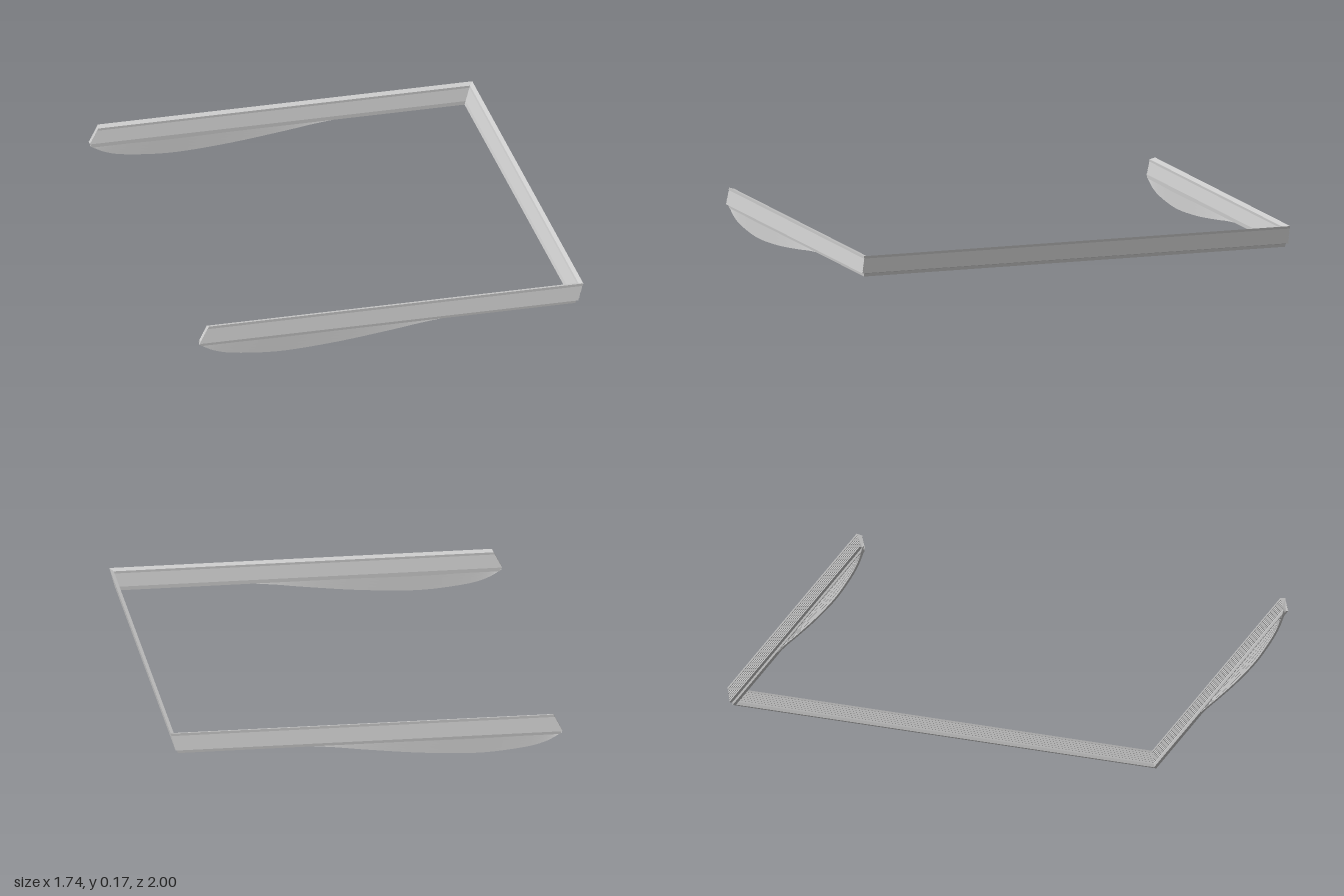
import * as THREE from 'three';

const TOP = 0.169, RIB_BOTTOM = 0.088, BOTTOM = 0.071, RIBS = 7;

// Skin a list of matching cross-sections and close both ends.
function loft(rings, section) {
  const n = section.length, index = [];
  for (let s = 0; s < rings.length - 1; s++) {
    for (let i = 0; i < n; i++) {
      const j = (i + 1) % n;
      const a = s * n + i, b = s * n + j, c = b + n, d = a + n;
      index.push(a, b, c, a, c, d);
    }
  }
  const last = (rings.length - 1) * n;
  for (const [a, b, c] of THREE.ShapeUtils.triangulateShape(section, [])) {
    index.push(c, b, a, last + a, last + b, last + c);
  }
  const geometry = new THREE.BufferGeometry();
  geometry.setAttribute('position', new THREE.Float32BufferAttribute(rings.flat(2), 3));
  geometry.setIndex(index);
  const flat = geometry.toNonIndexed();
  flat.computeVertexNormals();
  return flat;
}

// Overlapping boards from yTop to yBottom; each one leans out by lap towards its lower edge.
function boards(count, yTop, yBottom, depth, lap) {
  const points = [];
  for (let r = 0; r < count; r++) {
    const inset = r === 0 ? 0 : lap;
    points.push(new THREE.Vector2(depth + inset, THREE.MathUtils.lerp(yTop, yBottom, r / count)));
    points.push(new THREE.Vector2(depth, THREE.MathUtils.lerp(yTop, yBottom, (r + 1) / count)));
  }
  return points;
}

// Ribbed section: x is the depth inward from the outer face, y is height.
function ribbedSection() {
  const outer = boards(RIBS, TOP, RIB_BOTTOM, 0, 0.0025);
  const inner = boards(RIBS, TOP - 0.007, RIB_BOTTOM, 0.025, -0.0025);
  // narrow lip along the underside
  outer.push(new THREE.Vector2(0.011, 0.085), new THREE.Vector2(0.012, BOTTOM));
  inner.push(new THREE.Vector2(0.025, BOTTOM));
  return [...outer, ...inner.reverse()];
}

// Slanted free ends of the two side rails
const railEnd = (p) => -0.87 + Math.max(0, p.y - RIB_BOTTOM) * 0.51 + Math.max(0, RIB_BOTTOM - p.y) * 0.6;

// The cross rail leans outward towards its top.
const crossX = (p) => 0.87 - (TOP - p.y) * 0.27 - p.x * 0.6;

function ribbedFrame() {
  const section = ribbedSection();
  const station = (xOf, side) => section.map((p) => [xOf(p), p.y, side * (1 - p.x)]);
  return loft([station(railEnd, 1), station(crossX, 1), station(crossX, -1), station(railEnd, -1)], section);
}

// Thin curved blade below a side rail
function blade(side) {
  const outline = new THREE.SplineCurve([
    [-0.868, 0.006], [-0.8, 0.043], [-0.7, 0.067], [-0.5, 0.083], [-0.25, 0.07],
    [0, 0.042], [0.15, 0.022], [0.3, 0.008],
  ].map(([x, d]) => new THREE.Vector2(x, d)));
  const section = [
    ...boards(5, 0, -1, 0.014, 0.0012),
    ...boards(5, 0, -1, 0.0235, -0.0012).reverse(),
  ];
  const rings = outline.getPoints(36).map((q) =>
    section.map((p) => [q.x, 0.084 + p.y * q.y, side * (1 - p.x)]));
  if (side < 0) rings.reverse();
  return loft(rings, section);
}

export function createModel() {
  const model = new THREE.Group();
  model.name = 'ribbedTrim';
  const grey = new THREE.MeshStandardMaterial({ color: 0xcccccc, side: THREE.DoubleSide });
  grey.name = 'grey';

  const add = (name, geometry) => {
    const mesh = new THREE.Mesh(geometry, grey);
    mesh.name = name;
    model.add(mesh);
  };
  add('ribbedFrame', ribbedFrame());
  add('frontBlade', blade(1));
  add('backBlade', blade(-1));
  return model;
}
